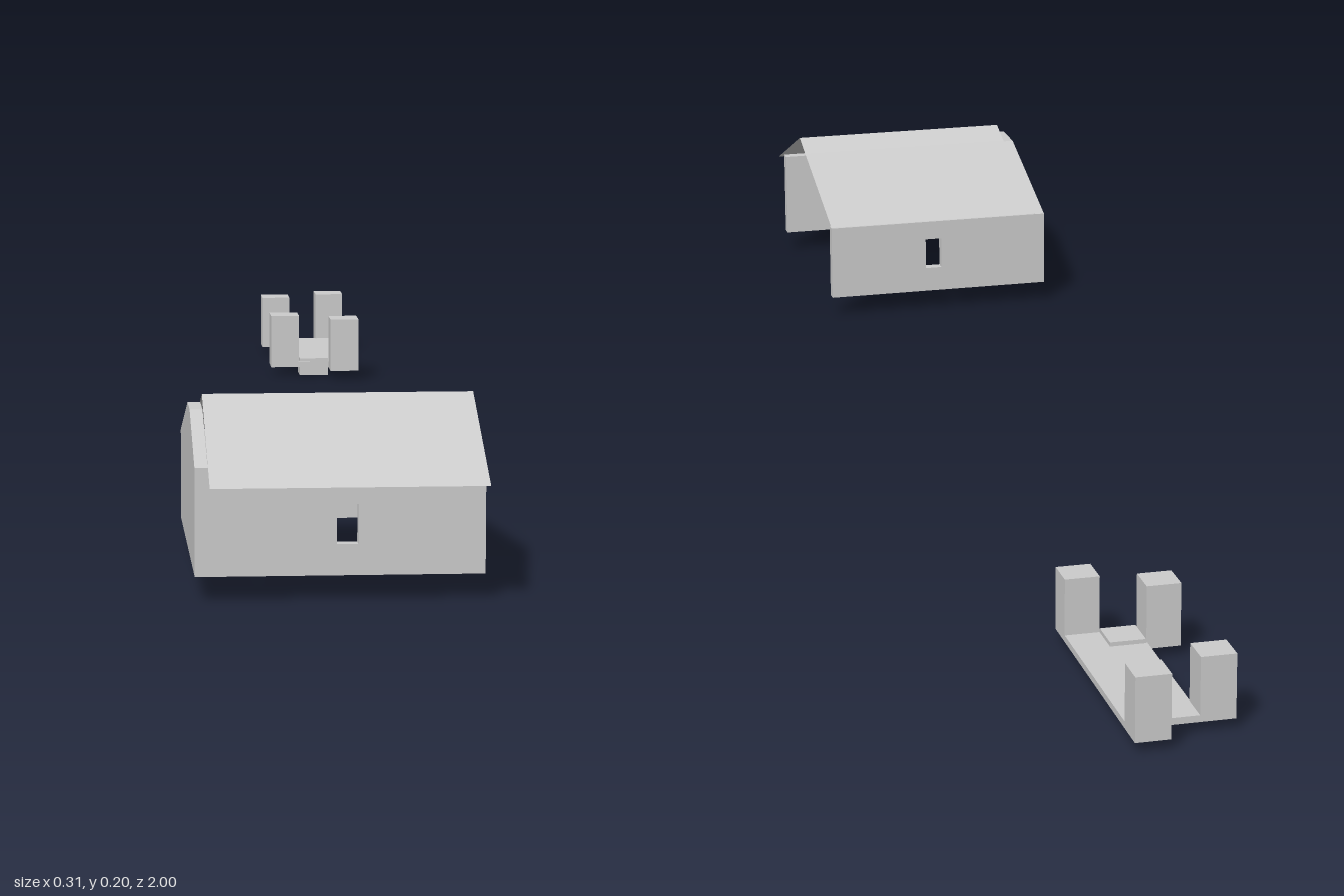
import * as THREE from 'three';

const grey = new THREE.MeshStandardMaterial({ color: 0xcccccc, flatShading: true });
const sheet = new THREE.MeshStandardMaterial({ color: 0xcccccc, flatShading: true, side: THREE.DoubleSide });

export function createModel() {
  const model = new THREE.Group();

  const add = (name, geometry, material = grey) => {
    const mesh = new THREE.Mesh(geometry, material);
    mesh.name = name;
    model.add(mesh);
    return mesh;
  };

  // Box given by its limits on each axis
  const block = (name, [x0, x1], [y0, y1], [z0, z1]) =>
    add(name, new THREE.BoxGeometry(x1 - x0, y1 - y0, z1 - z0))
      .position.set((x0 + x1) / 2, (y0 + y1) / 2, (z0 + z1) / 2);

  const outline = (points) => points.map(([x, y]) => new THREE.Vector2(x, y));

  const left = 0.155, right = -0.157, floor = 0.027, thick = 0.014;

  // Long walls, each pierced by a window
  const wall = (name, top, z) => {
    const shape = new THREE.Shape(outline([[right, floor], [left, floor], [left, top], [right, top]]));
    shape.holes.push(new THREE.Path(outline([[-0.005, 0.061], [-0.005, 0.104], [0.018, 0.104], [0.018, 0.061]])));
    add(name, new THREE.ExtrudeGeometry(shape, { depth: thick, bevelEnabled: false })).position.z = z;
  };
  wall('frontWall', 0.145, 0.955 - thick);
  wall('backWall', 0.13, 0.6);

  // Gable wall closing one end; the other end stays open
  const gable = new THREE.Shape(outline([
    [-0.955, floor], [-0.6, floor], [-0.6, 0.13], [-0.785, 0.19], [-0.84, 0.19], [-0.955, 0.145],
  ]));
  const gableGeometry = new THREE.ExtrudeGeometry(gable, { depth: thick, bevelEnabled: false });
  gableGeometry.rotateY(Math.PI / 2);
  add('gableWall', gableGeometry).position.x = right;

  // Thin folded roof: front slope, ridge strip, back slope
  const profile = [[1, 0.13], [0.825, 0.205], [0.785, 0.191], [0.6, 0.131]];
  const roof = new THREE.PlaneGeometry(left - right - thick, 1, 1, profile.length - 1);
  const pos = roof.attributes.position;
  for (let i = 0; i < pos.count; i++) {
    const [z, y] = profile[profile.length - 1 - Math.floor(i / 2)];
    pos.setXYZ(i, pos.getX(i) + (left + right + thick) / 2, y, z);
  }
  roof.computeVertexNormals();
  add('roof', roof, sheet);

  // Separate deck with four posts and a step
  block('deck', [0.07, 0.155], [0.012, 0.02], [-0.963, -0.705]);
  block('step', [0.072, 0.114], [0, 0.025], [-0.75, -0.706]);
  const posts = [[0.03, -0.963], [0.114, -1], [0.03, -0.748], [0.114, -0.705]];
  for (const [x, z] of posts) {
    block('post', [x, x + 0.041], [0.012, 0.088], [z, z + 0.041]);
  }

  return model;
}
